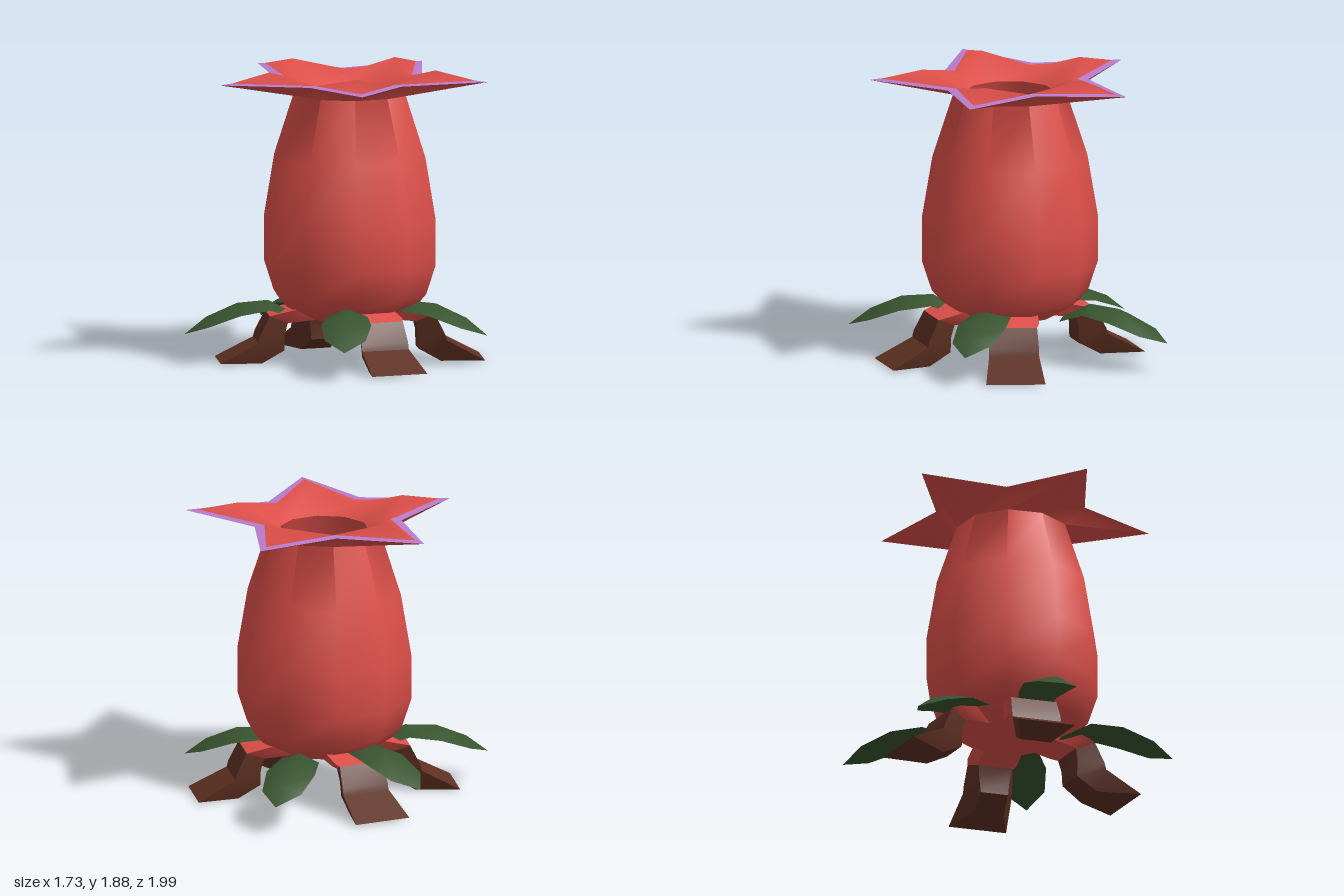
import * as THREE from 'three';
import { toCreasedNormals } from 'three/addons/utils/BufferGeometryUtils.js';

const mat = (color) => new THREE.MeshStandardMaterial({ color, roughness: 0.9, side: THREE.DoubleSide });
const RED = mat(0xdd4f49), PURPLE = mat(0xb87ccc), GREEN = mat(0x38542f), BROWN = mat(0x5e3022);

// Skins a list of closed rings, each an equally long list of [x, y, z].
function loft(name, rings, material, crease = 1.0) {
  const n = rings[0].length, index = [];
  for (let i = 0; i < rings.length - 1; i++) {
    for (let j = 0; j < n; j++) {
      const a = i * n + j, b = i * n + (j + 1) % n, c = a + n, d = b + n;
      index.push(a, c, b, b, c, d);
    }
  }
  const geo = new THREE.BufferGeometry();
  geo.setAttribute('position', new THREE.Float32BufferAttribute(rings.flat(2), 3));
  geo.setIndex(index);
  const mesh = new THREE.Mesh(toCreasedNormals(geo, crease), material);
  mesh.name = name;
  return mesh;
}

// Ten-point ring; even points lie on the star's tips, odd ones in its notches.
function ring(rTip, yTip, rNotch = rTip, yNotch = yTip) {
  return Array.from({ length: 10 }, (_, i) => {
    const a = i * Math.PI / 5, r = i % 2 ? rNotch : rTip;
    return [r * Math.sin(a), i % 2 ? yNotch : yTip, -r * Math.cos(a)];
  });
}

// Leaf: arched, lens-shaped sections pointing along -z
function leaf(angle, length) {
  const stations = [[0.36, 0.3, 0.06], [0.55, 0.4, 0.13], [0.75, 0.385, 0.16], [0.95, 0.3, 0.13], [1.09, 0.19, 0]];
  const rings = stations.map(([s, y, w]) => {
    const z = -(s + length - 1.09), sag = w * 0.4;
    return [[w, y - sag, z], [0, y, z], [-w, y - sag, z], [0, y - sag * 0.8, z]];
  });
  const mesh = loft('leaf', rings, GREEN, 0.9);
  mesh.rotation.y = -THREE.MathUtils.degToRad(angle);
  return mesh;
}

// Leg section: upper edge and lower edge, each [distance, height, half width]
function legRing([s1, y1, w1], [s2, y2, w2]) {
  return [[w1, y1, -s1], [-w1, y1, -s1], [-w2, y2, -s2], [w2, y2, -s2]];
}

function leg(angle) {
  const g = new THREE.Group();
  g.name = 'leg';
  const top = legRing([0.53, 0.31, 0.15], [0.41, 0.26, 0.11]);
  const sole = legRing([0.848, 0.012, 0.19], [0.575, 0, 0.1]);
  g.add(
    // red joint under the body
    loft('legJoint', [legRing([0.28, 0.37, 0.16], [0.22, 0.28, 0.12]), legRing([0.48, 0.325, 0.165], [0.36, 0.265, 0.12]), top], RED, 0.7),
    // ankle and splayed foot
    loft('foot', [
      top,
      legRing([0.595, 0.18, 0.16], [0.43, 0.18, 0.1]),
      legRing([0.605, 0.14, 0.16], [0.43, 0.08, 0.09]),
      sole,
      sole.map(() => [0, 0.005, -0.72]),
    ], BROWN, 0.8),
  );
  g.rotation.y = -THREE.MathUtils.degToRad(angle);
  return g;
}

export function createModel() {
  const model = new THREE.Group();
  model.name = 'walkingFlower';
  const plant = new THREE.Group();
  plant.name = 'plant';
  plant.position.z = 0.085;
  model.add(plant);

  // Bulbous body flaring into the underside of the star
  const profile = [[0, 0.26], [0.28, 0.28], [0.44, 0.37], [0.5, 0.44], [0.5625, 0.63], [0.5625, 0.92], [0.495, 1.32], [0.365, 1.72]];
  const rim = ring(0.9, 1.82, 0.5, 1.815);
  plant.add(loft('body', [...profile.map(([r, y]) => ring(r, y)), rim], RED, 1.3));

  // Star-shaped petals: coloured border, ridged funnel
  const border = ring(0.82, 1.828, 0.43, 1.818);
  const lip = ring(0.285, 1.74);
  plant.add(loft('petalBorder', [rim, border], PURPLE));
  plant.add(loft('petals', [border, ring(0.56, 1.885, 0.37, 1.8), lip], RED, 1.2));

  // Hollow inside of the body
  const inside = [[0.45, 1.34], [0.51, 0.92], [0.51, 0.64], [0.42, 0.42], [0, 0.32]];
  plant.add(loft('cavity', [lip, ...inside.map(([r, y]) => ring(r, y))], RED, 1.3));

  for (const a of [53, 127, 233, 307]) plant.add(leg(a));
  for (const [a, l] of [[-10.5, 1.1], [74, 0.91], [151, 1.035], [230, 1.07], [-70, 0.9]]) plant.add(leaf(a, l));
  return model;
}
